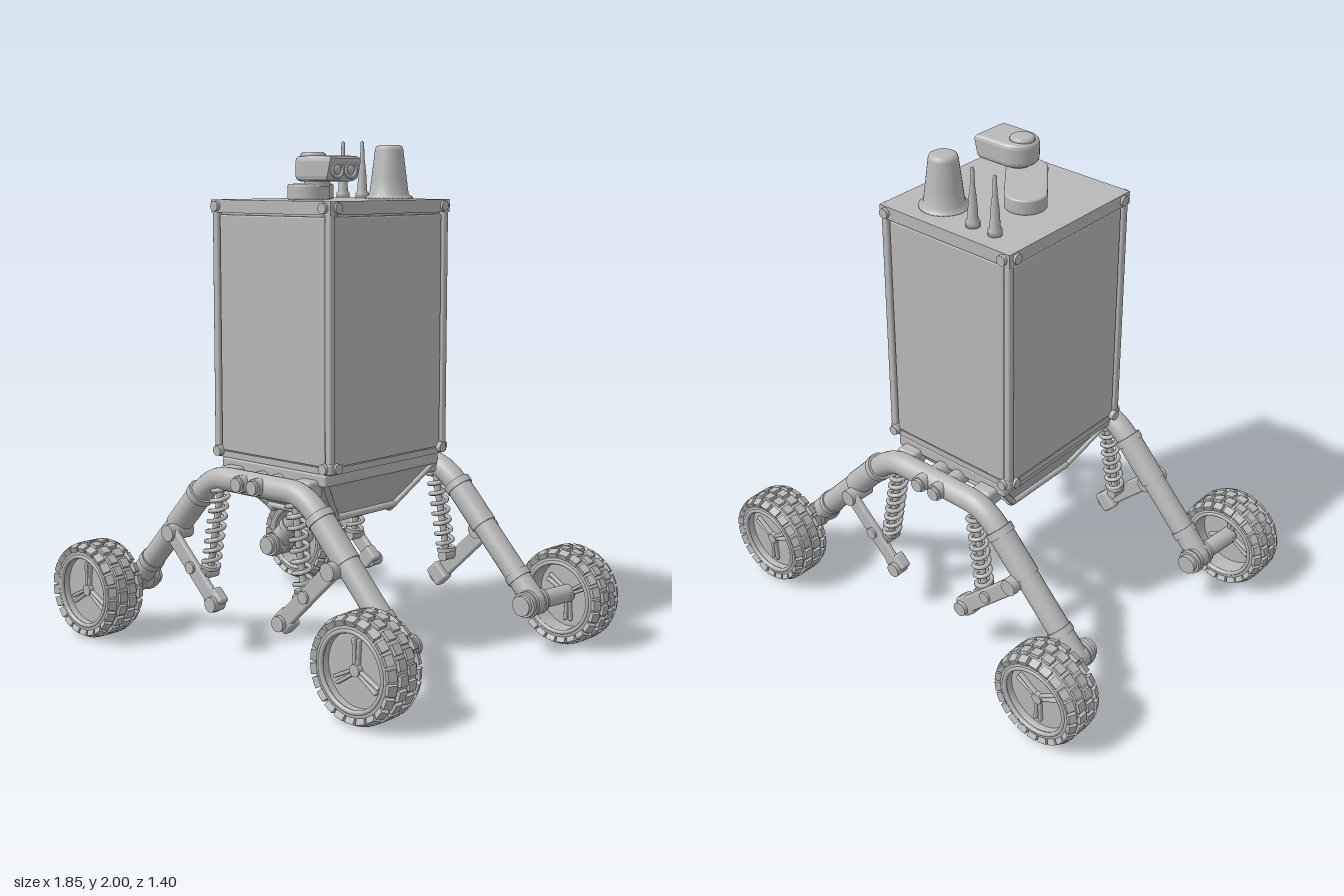
import * as THREE from 'three';
import { mergeGeometries } from 'three/addons/utils/BufferGeometryUtils.js';
import { RoundedBoxGeometry } from 'three/addons/geometries/RoundedBoxGeometry.js';

const grey = new THREE.MeshStandardMaterial({ color: 0xb8b8b8 });
grey.name = 'plain grey';
const V = (x, y, z) => new THREE.Vector3(x, y, z);

function add(parent, name, geo, x = 0, y = 0, z = 0) {
  const m = new THREE.Mesh(geo, grey);
  m.name = name;
  m.position.set(x, y, z);
  parent.add(m);
  return m;
}
const box = (w, h, d) => new THREE.BoxGeometry(w, h, d);
const rbox = (w, h, d, r) => new RoundedBoxGeometry(w, h, d, 2, r);
const lathe = (pts, n = 32) => new THREE.LatheGeometry(pts.map(p => new THREE.Vector2(...p)), n);

// cylinder between two points
function rod(parent, name, a, b, r, r2 = r, n = 20) {
  const d = b.clone().sub(a);
  const m = add(parent, name, new THREE.CylinderGeometry(r2, r, d.length(), n));
  m.position.copy(a).add(b).multiplyScalar(0.5);
  m.quaternion.setFromUnitVectors(V(0, 1, 0), d.normalize());
  return m;
}

// shape drawn in x and -z, raised along y
function slab(shape, height, bevel) {
  const g = new THREE.ExtrudeGeometry(shape, {
    depth: height - 2 * bevel, bevelEnabled: true, bevelSize: bevel, bevelThickness: bevel,
    bevelOffset: -bevel, bevelSegments: 3, curveSegments: 16 });
  return g.rotateX(-Math.PI / 2).translate(0, bevel, 0);
}

function cargoBox() {
  const g = new THREE.Group();
  g.name = 'cargoBox';
  add(g, 'boxCore', box(0.58, 0.98, 0.64), 0, 1.265, 0);
  add(g, 'topPlate', box(0.63, 0.05, 0.69), 0, 1.745, 0);
  add(g, 'basePlate', box(0.61, 0.025, 0.67), 0, 0.7725, 0);
  for (const s of [-1, 1]) {
    add(g, 'endPanel', rbox(0.555, 0.925, 0.02, 0.006), 0, 1.25, s * 0.327);
    add(g, 'sidePanel', rbox(0.02, 0.925, 0.615, 0.006), s * 0.297, 1.25, 0);
    for (const t of [-1, 1]) {
      add(g, 'cornerRail', rbox(0.03, 0.96, 0.03, 0.008), s * 0.298, 1.25, t * 0.328);
      for (const y of [0.785, 1.745]) {
        add(g, 'cornerBracket', rbox(0.045, 0.045, 0.045, 0.01), s * 0.293, y, t * 0.323);
        rod(g, 'cornerBolt', V(s * 0.285, y, t * 0.3), V(s * 0.285, y, t * 0.36), 0.02);
        rod(g, 'cornerBolt', V(s * 0.28, y, t * 0.307), V(s * 0.325, y, t * 0.307), 0.02);
      }
    }
  }
  return g;
}

function roofEquipment() {
  const g = new THREE.Group();
  g.name = 'roofEquipment';
  // whip antennas
  for (const x of [-0.17, -0.065]) {
    add(g, 'antenna', lathe([[0, 0], [0.027, 0], [0.027, 0.02], [0.02, 0.03], [0.016, 0.1],
      [0.009, 0.16], [0.007, 0.225], [0, 0.23]], 16), x, 1.77, -0.255);
  }
  // navigation receiver
  add(g, 'receiverDome', lathe([[0, 0], [0.095, 0], [0.095, 0.008], [0.078, 0.018], [0.07, 0.08],
    [0.056, 0.19], [0.052, 0.203], [0.04, 0.21], [0, 0.21]]), 0.125, 1.77, -0.2);
  // slanted stadium pad
  const pad = new THREE.Shape();
  const a = Math.atan2(-0.18, 0.145);
  pad.absarc(0.04, -0.17, 0.08, a - Math.PI / 2, a + Math.PI / 2);
  pad.absarc(-0.105, 0.01, 0.08, a + Math.PI / 2, a + Math.PI * 1.5);
  add(g, 'cameraPad', slab(pad, 0.06, 0.008), 0, 1.77, 0);
  rod(g, 'cameraNeck', V(0.08, 1.82, 0.165), V(0.08, 1.85, 0.165), 0.05);
  // camera head, round at the back, with a slanted face
  const s = new THREE.Shape();
  s.moveTo(0.23, -0.25);
  s.lineTo(0.23, -0.08);
  s.lineTo(0.085, -0.08);
  s.absarc(0.085, -0.165, 0.085, Math.PI / 2, Math.PI * 1.5);
  const head = slab(s, 0.095, 0.02);
  const p = head.attributes.position;
  for (let i = 0; i < p.count; i++) {
    if (p.getX(i) > 0.19) p.setX(i, p.getX(i) - (0.095 - p.getY(i)) * 0.25);
  }
  head.computeVertexNormals();
  add(g, 'cameraHead', head, 0, 1.84, 0);
  add(g, 'cameraCap', lathe([[0, 0], [0.05, 0], [0.047, 0.014], [0.036, 0.02], [0, 0.02]]), 0.06, 1.93, 0.165);
  for (const z of [0.128, 0.202]) {
    const ring = add(g, 'lensRing', new THREE.TorusGeometry(0.028, 0.007, 8, 24), 0.218, 1.885, z);
    ring.rotation.y = Math.PI / 2;
    const lens = add(g, 'lens', new THREE.SphereGeometry(0.024, 16, 10), 0.212, 1.885, z);
    lens.scale.x = 0.6;
  }
  return g;
}

function underHull() {
  const g = new THREE.Group();
  g.name = 'underHull';
  // tapered pan
  const geo = box(2, 1, 2);
  const p = geo.attributes.position;
  for (let i = 0; i < p.count; i++) {
    const top = p.getY(i) > 0;
    p.setXYZ(i, p.getX(i) * (top ? 0.27 : 0.18), top ? 0.725 : 0.56, p.getZ(i) * (top ? 0.33 : 0.17));
  }
  geo.computeVertexNormals();
  add(g, 'pan', geo);
  add(g, 'panLip', rbox(0.56, 0.05, 0.67, 0.01), 0, 0.735, 0);
  // tubular skid around the bottom
  const c = [[1, 1], [-1, 1], [-1, -1], [1, -1]].map(([x, z]) => V(x * 0.185, 0.555, z * 0.17));
  c.forEach((a, i) => {
    rod(g, 'skidRail', a, c[(i + 1) % 4], 0.014, 0.014, 10);
    add(g, 'skidFoot', new THREE.SphereGeometry(0.022, 12, 8), a.x * 0.9, 0.548, a.z * 0.95);
    rod(g, 'skidStrut', a, V(Math.sign(a.x) * 0.27, 0.72, Math.sign(a.z) * 0.325), 0.012, 0.012, 10);
  });
  return g;
}

function archBar(sz) {
  const g = new THREE.Group();
  g.name = sz > 0 ? 'frontArch' : 'backArch';
  const z = 0.41 * sz, path = new THREE.CurvePath();
  const q = [[-0.71, 0.205], [-0.33, 0.61], [-0.25, 0.695], [-0.17, 0.695],
    [0.17, 0.695], [0.25, 0.695], [0.33, 0.61], [0.71, 0.205]].map(([x, y]) => V(x, y, z));
  path.add(new THREE.LineCurve3(q[0], q[1]));
  path.add(new THREE.QuadraticBezierCurve3(q[1], q[2], q[3]));
  path.add(new THREE.LineCurve3(q[3], q[4]));
  path.add(new THREE.QuadraticBezierCurve3(q[4], q[5], q[6]));
  path.add(new THREE.LineCurve3(q[6], q[7]));
  add(g, 'archTube', new THREE.TubeGeometry(path, 80, 0.047, 20));
  // paired mounting bolts
  for (const x of [-0.045, 0.04]) {
    rod(g, 'mountBolt', V(x, 0.7, 0.31 * sz), V(x, 0.7, 0.475 * sz), 0.034);
    rod(g, 'boltHead', V(x, 0.7, 0.465 * sz), V(x, 0.7, 0.488 * sz), 0.027);
  }
  for (const x of [-0.2, 0.2]) {
    add(g, 'hullBracket', rbox(0.09, 0.07, 0.08, 0.015), x, 0.7, 0.345 * sz);
  }
  return g;
}

function suspension(sx, sz) {
  const g = new THREE.Group();
  g.name = 'suspension';
  const P = (x, y, z) => V(x * sx, y, z * sz);
  // collars on the arm
  rod(g, 'armSleeve', P(0.33, 0.61, 0.41), P(0.46, 0.471, 0.41), 0.052);
  rod(g, 'armCollar', P(0.315, 0.626, 0.41), P(0.335, 0.605, 0.41), 0.057);
  rod(g, 'armCollar', P(0.62, 0.301, 0.41), P(0.64, 0.28, 0.41), 0.052);
  // lower link
  const link = add(g, 'lowerLink', rbox(0.37, 0.068, 0.026, 0.01), 0.31 * sx, 0.327, 0.468 * sz);
  link.rotation.z = sx * Math.atan2(0.25, 0.26);
  rod(g, 'linkPivot', P(0.435, 0.45, 0.38), P(0.435, 0.45, 0.495), 0.034);
  rod(g, 'linkBolt', P(0.31, 0.33, 0.455), P(0.31, 0.33, 0.492), 0.024);
  rod(g, 'linkEndBolt', P(0.185, 0.205, 0.44), P(0.185, 0.205, 0.498), 0.03);
  const fork = add(g, 'linkFork', rbox(0.07, 0.085, 0.05, 0.012), 0.195 * sx, 0.215, 0.455 * sz);
  fork.rotation.z = link.rotation.z;
  // coil spring around a damper rod
  const a = P(0.2, 0.66, 0.415), b = P(0.255, 0.33, 0.425);
  const helix = new THREE.Curve();
  helix.getPoint = (t, out = V(0, 0, 0)) => {
    const w = t * Math.PI * 2 * 8;
    out.lerpVectors(a, b, t);
    out.x += 0.032 * Math.cos(w);
    out.z += 0.032 * Math.sin(w);
    return out;
  };
  add(g, 'coilSpring', new THREE.TubeGeometry(helix, 128, 0.0095, 6));
  rod(g, 'damperRod', a, b, 0.014, 0.014, 10);
  rod(g, 'springSeat', P(0.255, 0.34, 0.425), P(0.257, 0.325, 0.425), 0.038);
  rod(g, 'springPin', P(0.258, 0.31, 0.395), P(0.258, 0.31, 0.47), 0.022);
  // axle housing
  rod(g, 'axleHousing', P(0.705, 0.2, 0.345), P(0.705, 0.2, 0.455), 0.05);
  rod(g, 'axleCap', P(0.705, 0.2, 0.325), P(0.705, 0.2, 0.345), 0.04);
  for (const z of [0.37, 0.43]) rod(g, 'axleBand', P(0.705, 0.2, z - 0.008), P(0.705, 0.2, z + 0.008), 0.055);
  rod(g, 'axle', P(0.71, 0.2, 0.45), P(0.725, 0.196, 0.62), 0.036);
  return g;
}

// wheel built around the y axis, outer side up
function wheel() {
  const g = new THREE.Group();
  g.name = 'wheel';
  add(g, 'tire', lathe([[0.142, -0.075], [0.155, -0.08], [0.172, -0.07], [0.182, -0.045], [0.185, 0],
    [0.182, 0.045], [0.172, 0.07], [0.155, 0.08], [0.142, 0.075], [0.136, 0.05], [0.136, -0.05],
    [0.142, -0.075]], 48));
  // staggered tread blocks
  const lugs = [], n = 22;
  for (let i = 0; i < n; i++) {
    [-0.066, -0.023, 0.023, 0.066].forEach((y, k) => {
      const edge = k % 3 === 0;
      const lug = box(edge ? 0.03 : 0.022, edge ? 0.032 : 0.037, 0.039);
      if (edge) lug.rotateZ(Math.sign(y) * 0.45);
      lug.translate(edge ? 0.173 : 0.184, y, 0);
      lug.rotateY((i + (k % 2) * 0.5) / n * Math.PI * 2);
      lugs.push(lug);
    });
  }
  add(g, 'tread', mergeGeometries(lugs));
  // rim, dished disc and three pairs of ribs
  for (const s of [-1, 1]) {
    const rim = add(g, 'rimRing', new THREE.TorusGeometry(0.142, 0.009, 8, 48), 0, s * 0.074, 0);
    rim.rotation.x = Math.PI / 2;
  }
  add(g, 'rimDisc', new THREE.CylinderGeometry(0.138, 0.138, 0.03, 40), 0, 0.025, 0);
  add(g, 'hub', new THREE.CylinderGeometry(0.022, 0.03, 0.08, 20), 0, 0.02, 0);
  for (let i = 0; i < 3; i++) {
    const spoke = new THREE.Group();
    spoke.name = 'spoke';
    spoke.rotation.y = Math.PI / 2 + i * Math.PI * 2 / 3;
    for (const s of [-1, 1]) {
      const rib = add(spoke, 'spokeRib', rbox(0.1, 0.06, 0.013, 0.005), 0.062, 0.025, s * 0.009);
      rib.rotation.y = -s * 0.06;
    }
    g.add(spoke);
  }
  return g;
}

export function createModel() {
  const g = new THREE.Group();
  g.name = 'deliveryRover';
  g.add(cargoBox(), roofEquipment(), underHull());
  for (const sz of [1, -1]) {
    g.add(archBar(sz));
    for (const sx of [1, -1]) {
      g.add(suspension(sx, sz));
      const w = wheel();
      w.position.set(0.73 * sx, 0.196, 0.615 * sz);
      w.rotation.x = sz * Math.PI / 2;
      g.add(w);
    }
  }
  return g;
}
